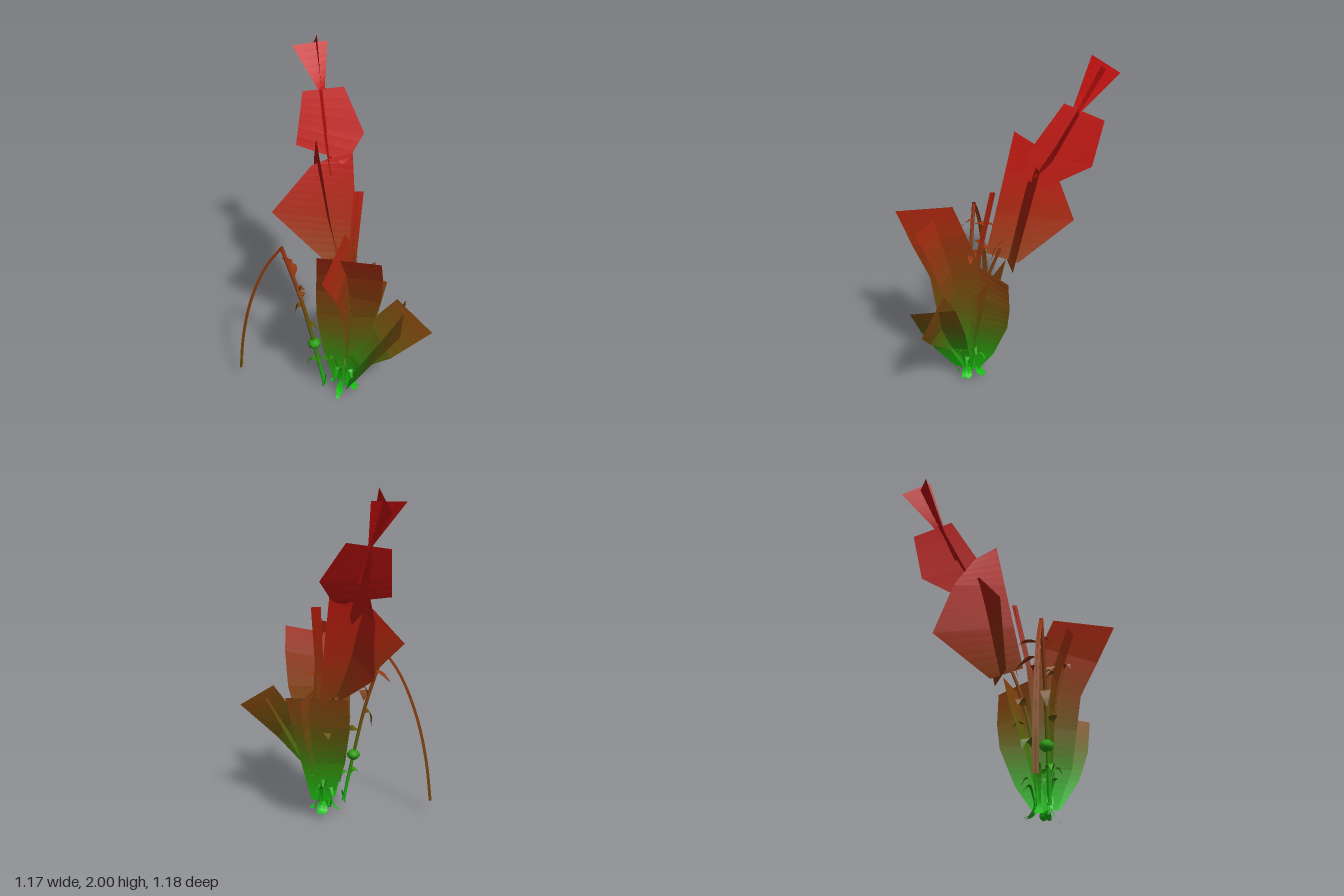
import * as THREE from 'three';

// Height tint: green at the roots, brown in the middle, red at the tips
const STOPS = [[0, 20, 205, 20], [0.15, 28, 175, 16], [0.3, 52, 140, 14], [0.42, 80, 110, 14], [0.55, 105, 86, 14],
  [0.75, 130, 66, 15], [1.1, 166, 38, 14], [1.4, 186, 22, 13], [2, 200, 13, 13]];
const materials = new Map();

function tint(y) {
  const h = Math.min(1.96, Math.max(0.02, Math.round(y / 0.04) * 0.04));
  const key = h.toFixed(2);
  if (!materials.has(key)) {
    let i = 0;
    while (h > STOPS[i + 1][0]) i++;
    const a = STOPS[i], b = STOPS[i + 1], t = (h - a[0]) / (b[0] - a[0]);
    const [r, g, bl] = [1, 2, 3].map(k => (a[k] + (b[k] - a[k]) * t) / 255);
    const color = new THREE.Color().setRGB(r, g, bl, THREE.SRGBColorSpace);
    materials.set(key, new THREE.MeshStandardMaterial({ color, side: THREE.DoubleSide }));
  }
  return materials.get(key);
}

// Flat blade through rows of edge pairs [left xyz, right xyz], tinted in bands
function blade(name, rows, tintHeight = y => y) {
  const group = new THREE.Group();
  group.name = name;
  for (let i = 0; i < rows.length - 1; i++) {
    const a = rows[i], b = rows[i + 1];
    const rise = Math.abs(b[1] + b[4] - a[1] - a[4]) / 2;
    const n = Math.max(1, Math.round(rise / 0.04));
    const at = t => a.map((v, k) => v + (b[k] - v) * t);
    for (let s = 0; s < n; s++) {
      const p = at(s / n), q = at((s + 1) / n);
      const geo = new THREE.BufferGeometry();
      geo.setAttribute('position', new THREE.Float32BufferAttribute([...p, ...q], 3));
      geo.setIndex([0, 1, 3, 0, 3, 2]);
      geo.computeVertexNormals();
      const mesh = new THREE.Mesh(geo, tint(tintHeight((p[1] + p[4] + q[1] + q[4]) / 4)));
      mesh.name = name + 'Band';
      group.add(mesh);
    }
  }
  return group;
}

// Small curled leaf along a bent curve, widened along a side direction
function leaflet(name, p0, bend, p1, width, side, endWidth = 0.1) {
  const curve = new THREE.QuadraticBezierCurve3(...[p0, bend, p1].map(p => new THREE.Vector3(...p)));
  const dir = new THREE.Vector3(...side).normalize();
  const rows = [];
  for (let i = 0; i <= 6; i++) {
    const t = i / 6, c = curve.getPoint(t);
    const w = width * 0.5 * Math.max(endWidth, Math.sin(Math.PI * t));
    rows.push([...c.clone().addScaledVector(dir, w).toArray(), ...c.clone().addScaledVector(dir, -w).toArray()]);
  }
  return blade(name, rows);
}

// Round stem, tinted in bands
function stem(name, points, radius, bands) {
  const group = new THREE.Group();
  group.name = name;
  const curve = new THREE.CatmullRomCurve3(points.map(p => new THREE.Vector3(...p)));
  for (let i = 0; i < bands; i++) {
    const a = curve.getPoint(i / bands), b = curve.getPoint((i + 1) / bands);
    const mesh = new THREE.Mesh(new THREE.TubeGeometry(new THREE.LineCurve3(a, b), 1, radius, 6), tint((a.y + b.y) / 2));
    mesh.name = name + 'Band';
    group.add(mesh);
  }
  return group;
}

export function createModel() {
  const model = new THREE.Group();
  model.name = 'plant';

  // Three lower leaf pairs, each a broad blade crossed by another
  model.add(
    blade('frontLeafBroad', [[0, .1, .2, .12, .1, .2], [-.06, .35, .22, .18, .32, .23], [-.09, .6, .23, .25, .65, .25],
      [-.085, .79, .25, .285, .78, .28], [-.07, .93, .29, .305, .98, .34], [-.055, 1.075, .34, .305, 1.125, .4]]),
    blade('frontLeafCross', [[.07, .08, .25, .07, .08, .16], [.1, .3, .33, .1, .3, .12], [.11, .52, .36, .11, .55, .12],
      [.1, .72, .39, .12, .87, .1], [.085, .91, .49, .115, 1.04, .17], [.035, 1.1, .595, .08, 1.19, .25]]),
    blade('leftLeafBroad', [[.09, .08, .26, .09, .08, .16], [.16, .25, .36, .16, .28, .16], [.27, .45, .41, .27, .48, .15],
      [.42, .68, .42, .41, .735, .165]]),
    blade('leftLeafCross', [[.05, .12, .2, .13, .12, .2], [.1, .35, .22, .18, .27, .26], [.22, .6, .22, .36, .44, .33],
      [.37, .795, .24, .58, .65, .31]]),
    blade('backLeafBroad', [[.08, .08, .2, .08, .07, .12], [.1, .22, .17, .1, .22, .02], [.13, .45, .15, .14, .45, -.07],
      [.13, .65, .13, .17, .6, -.09], [.1, .83, .1, .19, .79, -.085]]),
    blade('backLeafCross', [[.02, .1, .15, .14, .1, .15], [-.06, .35, .1, .2, .35, .12], [-.09, .6, .02, .25, .6, .08],
      [-.08, .785, -.02, .285, .77, .065]]),
  );

  // Upright red flower spike: three crossed pairs along a leaning axis
  model.add(
    blade('lowerPetalBroad', [[-.1, .82, 0, .08, .8, -.09], [-.395, 1.11, .01, .06, 1.02, -.135],
      [-.2, 1.35, -.14, .03, 1.32, -.2], [-.12, 1.38, -.18, .02, 1.42, -.22]]),
    blade('lowerPetalCross', [[.01, .87, .08, -.03, .8, -.1], [-.05, 1.1, .037, -.22, 1.01, -.39],
      [-.1, 1.35, -.01, -.22, 1.3, -.28], [-.145, 1.57, -.05, -.18, 1.48, -.17]]),
    blade('middlePetalBroad', [[-.1, 1.39, -.2, -.03, 1.36, -.18], [-.31, 1.42, -.235, 0, 1.38, -.2],
      [-.305, 1.55, -.3, .07, 1.51, -.29], [-.3, 1.69, -.37, -.07, 1.725, -.405]]),
    blade('middlePetalCross', [[-.08, 1.32, -.1, -.1, 1.27, -.24], [-.12, 1.49, -.15, -.16, 1.39, -.48],
      [-.19, 1.735, -.31, -.2, 1.65, -.53]]),
    blade('topPetalBroad', [[-.16, 1.5, -.28, -.13, 1.5, -.3], [-.2, 1.7, -.36, -.18, 1.7, -.4], [-.37, 1.93, -.43, -.19, 1.94, -.52]]),
    blade('topPetalCross', [[-.14, 1.5, -.27, -.14, 1.49, -.3], [-.19, 1.72, -.36, -.19, 1.69, -.4], [-.23, 2, -.44, -.29, 1.89, -.59]]),
  );

  // Narrow shoot behind the leaves, of two crossed ribbons
  model.add(
    blade('shootBroad', [[.06, .6, .13, .1, .6, .13], [.06, .9, .1, .11, .9, .1], [.07, 1.1, .06, .12, 1.1, .06], [.075, 1.315, .02, .13, 1.315, .01]]),
    blade('shootCross', [[.08, .6, .15, .08, .6, .12], [.085, .9, .12, .085, .9, .09], [.1, 1.315, .035, .1, 1.315, .005]]),
  );

  // Stems
  model.add(
    stem('mainStem', [[.04, .06, .15], [.03, .4, .13], [.01, .7, .07], [0, .9, 0]], .01, 20),
    stem('innerStem', [[.08, .06, .2], [.1, .4, .22], [.09, .75, .26], [.085, .9, .3]], .008, 20),
    stem('twig', [[-.05, .07, .22], [-.11, .37, .22], [-.18, .68, .22], [-.285, 1.02, .215]], .011, 24),
  );

  // Drooping ribbon at the twig's end, with a second ribbon giving it depth
  const droop = new THREE.CatmullRomCurve3([[-.28, 1.03, .215], [-.39, .86, .21], [-.49, .6, .208], [-.55, .33, .206], [-.58, .08, .205]]
    .map(p => new THREE.Vector3(...p)));
  const faceRows = [], edgeRows = [];
  for (let i = 0; i <= 16; i++) {
    const { x, y, z } = droop.getPoint(i / 16), w = .01 + .008 * i / 16;
    faceRows.push([x, y, z + w, x, y, z - w]);
    edgeRows.push([x - .009, y, z, x + .009, y, z]);
  }
  const droopTint = y => .6 + .3 * y;
  model.add(blade('droopingRibbon', faceRows, droopTint), blade('droopingRibbonEdge', edgeRows, droopTint));

  // Bud and curled leaflets on the twig
  const bud = new THREE.Mesh(new THREE.SphereGeometry(.036, 8, 6), tint(.22));
  bud.name = 'twigBud';
  bud.scale.set(1.1, .9, 1.1);
  bud.position.set(-.11, .37, .215);
  model.add(bud);
  const across = [1, 0, .3], deep = [.3, .2, 1];
  [
    [[-.06, .17, .22], [-.1, .34, .23], [-.15, .23, .24], .05, deep],
    [[-.08, .25, .22], [-.02, .3, .2], [-.03, .19, .19], .05, deep],
    [[-.14, .52, .22], [-.11, .55, .24], [-.08, .51, .25], .07, deep],
    [[-.16, .62, .22], [-.22, .7, .22], [-.215, .55, .23], .06, deep],
    [[-.19, .72, .22], [-.19, .82, .25], [-.15, .78, .25], .07, deep],
    [[-.17, .71, .22], [-.17, .8, .24], [-.17, .74, .28], .06, across],
    [[-.24, .9, .21], [-.25, .93, .14], [-.32, .86, .1], .04, across],
    [[-.25, .92, .21], [-.2, .97, .23], [-.2, .88, .29], .045, across],
  ].forEach(([a, b, c, w, side]) => model.add(leaflet('twigLeaflet', a, b, c, w, side)));

  // Curled leaflets up the main stem
  [
    [[0, .86, .04], [-.03, .94, .13], [-.06, .9, .16], .04, across],
    [[-.02, .87, .12], [.08, .93, .16], [.18, .89, .13], .05, deep],
    [[.01, .82, .05], [-.02, .98, .02], [-.05, .92, -.06], .04, across],
    [[.02, .62, .09], [-.04, .72, .06], [-.06, .63, .06], .06, deep],
    [[.03, .52, .11], [.06, .6, .05], [.03, .53, .02], .05, across],
    [[.03, .4, .13], [-.05, .5, .1], [-.06, .38, .08], .06, deep],
    [[.08, .88, .3], [.02, .92, .33], [.03, .86, .34], .03, deep],
    [[.09, .72, .27], [.13, .76, .29], [.13, .7, .3], .03, deep],
  ].forEach(([a, b, c, w, side]) => model.add(leaflet('stemLeaflet', a, b, c, w, side)));

  // Ring of small sprouts and splayed roots at the foot
  for (let i = 0; i < 12; i++) {
    const a = i * 2.4, c = Math.cos(a), s = Math.sin(a), h = .18 + .14 * ((i * 5) % 7) / 7;
    const x = .06 + .04 * c, z = .17 + .04 * s;
    model.add(leaflet('sprout', [x, .07, z], [x + .02 * c, h + .1, z + .02 * s], [x + .07 * c, h - .02, z + .07 * s], .035, [-s, 0, c], .25));
    if (i % 2 === 0) {
      model.add(leaflet('root', [x, .12, z], [x + .01 * c, .04, z + .01 * s], [x + .05 * c, i === 6 ? 0 : .04, z + .06 * s], .045, [-s, .2, c], .3));
    }
  }
  model.add(leaflet('twigRoot', [-.04, .14, .22], [-.05, .1, .22], [-.06, .05, .23], .04, [.5, 0, 1], .3));

  return model;
}
